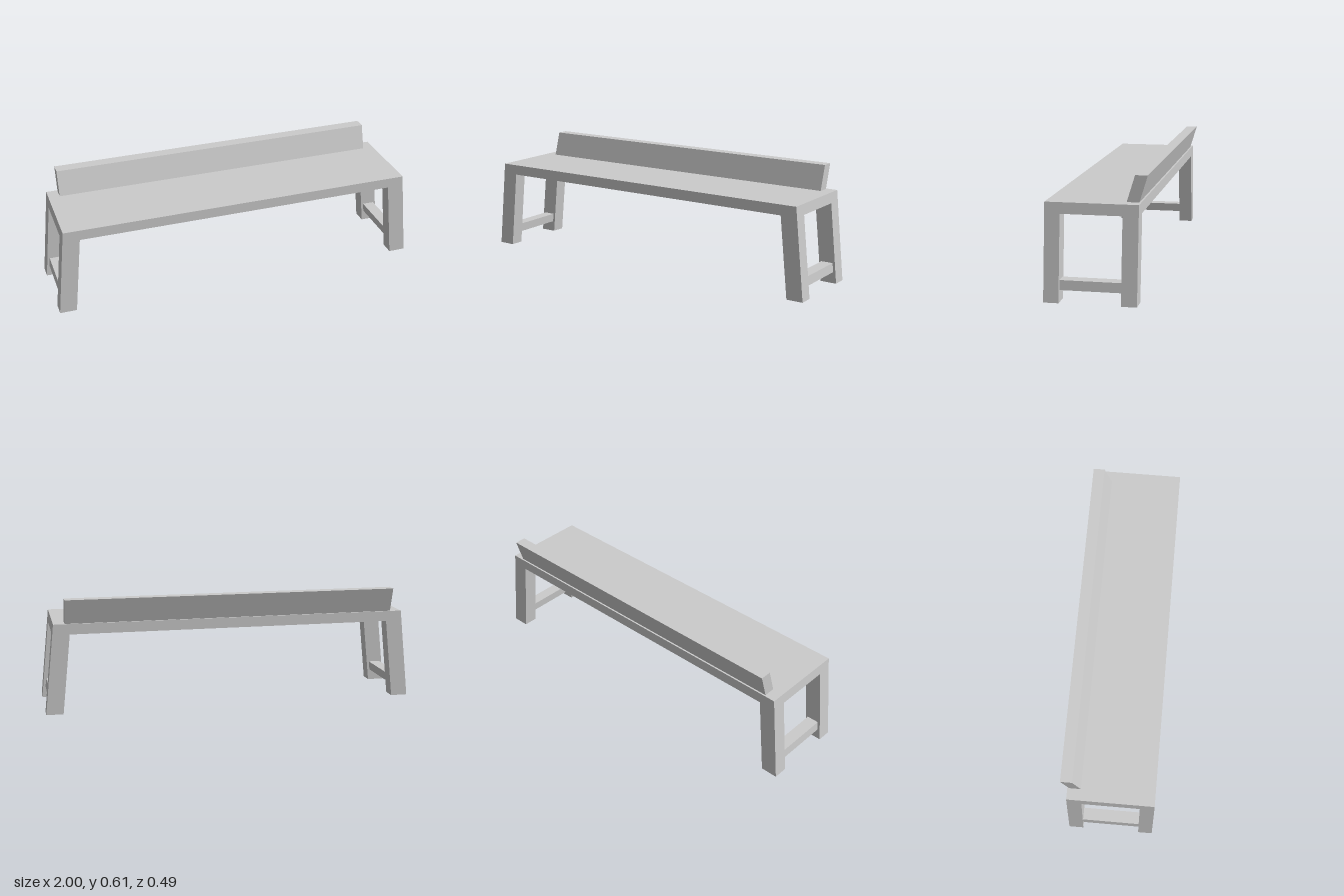
import * as THREE from 'three';

const material = new THREE.MeshStandardMaterial({ color: 0xcccccc, flatShading: true });

// Straight block between two heights, with its own [x0, x1, z0, z1] at bottom and top
function slantedBlock(name, y0, y1, bottom, top) {
  const geometry = new THREE.BoxGeometry(1, 1, 1);
  const p = geometry.attributes.position;
  for (let i = 0; i < p.count; i++) {
    const [x0, x1, z0, z1] = p.getY(i) > 0 ? top : bottom;
    p.setXYZ(i, p.getX(i) > 0 ? x1 : x0, p.getY(i) > 0 ? y1 : y0, p.getZ(i) > 0 ? z1 : z0);
  }
  geometry.computeVertexNormals();
  const mesh = new THREE.Mesh(geometry, material);
  mesh.name = name;
  return mesh;
}

const SEAT_TOP = 0.48, SEAT_BOTTOM = 0.425;
const BACK = -0.211, FRONT = 0.243;
const LEG_WIDTH = 0.09;

// Outer side of the splayed ends at height y
const outerX = (y) => 1 - 0.05 * y / SEAT_TOP;

export function createModel() {
  const bench = new THREE.Group();
  bench.name = 'bench';

  // Seat slab, its ends following the splay of the legs
  const xb = outerX(SEAT_BOTTOM), xt = outerX(SEAT_TOP);
  bench.add(slantedBlock('seat', SEAT_BOTTOM, SEAT_TOP, [-xb, xb, BACK, FRONT], [-xt, xt, BACK, FRONT]));

  // Low backrest leaning backwards
  bench.add(slantedBlock('backrest', SEAT_TOP, 0.61,
    [-0.89, 0.89, -0.202, -0.141], [-0.89, 0.89, -0.242, -0.181]));

  // Piece of an end frame, inset from the leg's outer and inner sides
  const endPart = (name, side, y0, y1, z0, z1, inset) => {
    const section = (y) => {
      const a = side * (outerX(y) - inset), b = side * (outerX(y) - LEG_WIDTH + inset);
      return [Math.min(a, b), Math.max(a, b), z0, z1];
    };
    return slantedBlock(name, y0, y1, section(y0), section(y1));
  };

  // Two legs and a stretcher at each end
  for (const [side, label] of [[1, 'left'], [-1, 'right']]) {
    const frame = new THREE.Group();
    frame.name = label + 'EndFrame';
    frame.add(
      endPart('frontLeg', side, 0, SEAT_BOTTOM, 0.168, FRONT, 0),
      endPart('backLeg', side, 0, SEAT_BOTTOM, BACK, -0.134, 0),
      endPart('stretcher', side, 0.06, 0.108, -0.134, 0.168, 0.013),
    );
    bench.add(frame);
  }
  return bench;
}
